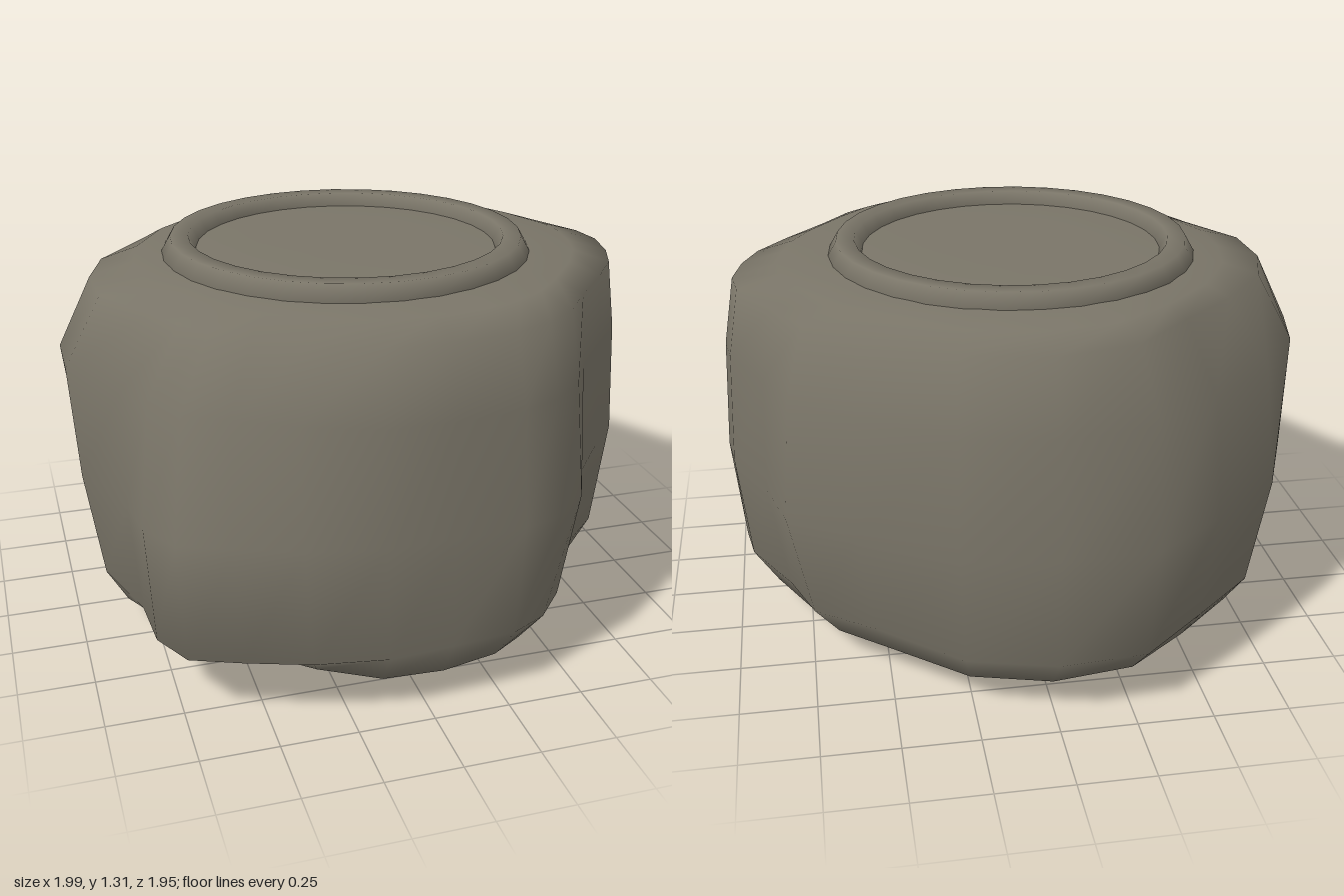
import * as THREE from 'three';

// Lumpy footprint of the stone, clockwise seen from above: [x, z]
const OUTLINE = [
  [-0.32, -0.97], [0, -0.985], [0.3, -0.93], [0.6, -0.73], [0.81, -0.58], [0.87, -0.37],
  [0.98, -0.13], [1, 0.01], [0.96, 0.17], [0.9, 0.31], [0.78, 0.45], [0.64, 0.63],
  [0.56, 0.8], [0.44, 0.91], [0.3, 0.96], [0.07, 0.965], [-0.16, 0.97], [-0.4, 0.9],
  [-0.6, 0.81], [-0.76, 0.745], [-0.84, 0.62], [-0.87, 0.44], [-1, 0.19], [-0.98, -0.05],
  [-0.95, -0.29], [-0.82, -0.59], [-0.57, -0.79],
];

// Height, roundness (1 turns the footprint into a circle), scale towards -x, +x, -z, +z,
// then extra scale at the corners: back left, back right, front left, front right (-x is left)
const LEVELS = [
  [0.02, 1, 0.35, 0.35, 0.35, 0.35, 1, 1, 1, 1],
  [0.05, 0.7, 0.68, 0.64, 0.66, 0.66, 1, 0.97, 0.92, 0.95],
  [0.1, 0.4, 0.86, 0.88, 0.88, 0.92, 0.96, 0.92, 0.88, 0.91],
  [0.23, 0, 0.9, 0.965, 0.99, 1, 0.98, 0.94, 1.08, 0.94],
  [0.6, 0, 0.96, 1, 0.99, 0.985, 1, 1, 1.03, 1],
  [0.98, 0.25, 1, 0.98, 0.93, 0.965, 0.93, 0.98, 0.94, 0.97],
  [1.21, 0.5, 0.88, 0.94, 0.85, 0.91, 0.88, 0.94, 0.92, 0.97],
  [1.252, 0.7, 0.73, 0.79, 0.75, 0.78, 0.95, 0.97, 0.97, 1],
  [1.27, 1, 0.57, 0.57, 0.57, 0.57, 1, 1, 1, 1],
  [1.276, 1, 0.3, 0.3, 0.3, 0.3, 1, 1, 1, 1],
];

function stoneGeometry() {
  const n = OUTLINE.length;
  const positions = [];
  const index = [];
  for (const [y, roundness, left, right, back, front, ...corners] of LEVELS) {
    for (const [x, z] of OUTLINE) {
      // Corner scale fades out towards the middle of each side
      const weight = (2 * x * z / (x * x + z * z)) ** 2;
      const corner = corners[(z > 0 ? 2 : 0) + (x > 0 ? 1 : 0)];
      const round = THREE.MathUtils.lerp(1, 1 / Math.hypot(x, z), roundness);
      const scale = round * THREE.MathUtils.lerp(1, corner, weight);
      positions.push(x * (x < 0 ? left : right) * scale, y, z * (z < 0 ? back : front) * scale);
    }
  }
  const bottom = positions.length / 3;
  const top = bottom + 1;
  positions.push(-0.2, 0, 0, 0, 1.277, 0);
  const last = (LEVELS.length - 1) * n;
  for (let j = 0; j < n; j++) {
    const k = (j + 1) % n;
    for (let a = 0; a < last; a += n) {
      index.push(a + k, a + j, a + n + j, a + k, a + n + j, a + n + k);
    }
    index.push(bottom, j, k, top, last + k, last + j);
  }
  const geometry = new THREE.BufferGeometry();
  geometry.setAttribute('position', new THREE.Float32BufferAttribute(positions, 3));
  geometry.setIndex(index);
  geometry.computeVertexNormals();
  return geometry;
}

export function createModel() {
  const group = new THREE.Group();
  group.name = 'stoneBasin';
  const stone = new THREE.MeshStandardMaterial({ color: 0x7a7568 });
  stone.name = 'stone';

  // Worn stone body
  const body = new THREE.Mesh(stoneGeometry(), stone);
  body.name = 'stoneBody';
  group.add(body);

  // Raised rim around the flat top
  const rim = new THREE.Mesh(new THREE.TorusGeometry(0.564, 0.061, 6, 32), stone);
  rim.name = 'topRim';
  rim.rotation.x = -Math.PI / 2;
  rim.position.set(-0.005, 1.262, 0.02);
  group.add(rim);

  return group;
}
